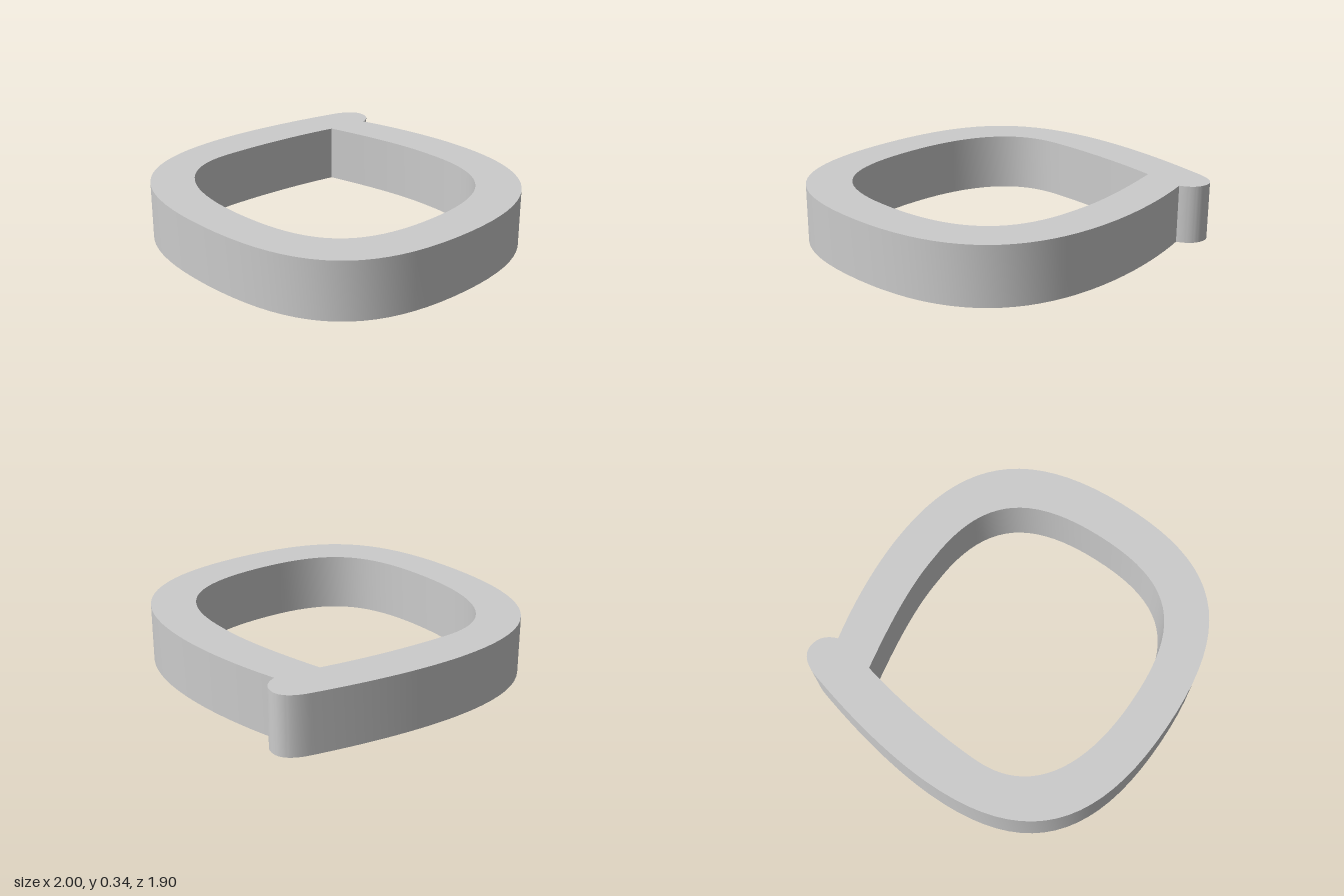
import * as THREE from 'three';
import { toCreasedNormals } from 'three/addons/utils/BufferGeometryUtils.js';

const HEIGHT = 0.337;

// Outlines are drawn in plan, with the back of the ring towards +y.
// Each curve is [control1, control2, end] as six numbers.
function trace(path, start, curves) {
  path.moveTo(...start);
  for (const curve of curves) path.bezierCurveTo(...curve);
  return path;
}

export function createModel() {
  const group = new THREE.Group();
  group.name = 'pointedRing';

  // Outer edge, clockwise from the notch beside the tip
  const outline = trace(new THREE.Shape(), [-0.62, 0.855], [
    [-0.4, 0.915, -0.15, 0.955, 0.07, 0.955],  // back
    [0.68, 0.955, 1, 0.68, 1, 0],              // back left corner
    [1, -0.68, 0.718, -0.945, 0, -0.945],      // front left corner
    [-0.7, -0.945, -1, -0.68, -1, -0.05],      // front right corner
    [-1, 0.2, -0.95, 0.5, -0.87, 0.81],        // right side
    [-0.845, 0.91, -0.8, 0.955, -0.745, 0.955], // tip
    [-0.69, 0.955, -0.645, 0.925, -0.62, 0.855],
  ]);

  // Opening, anticlockwise from its sharp corner
  outline.holes.push(trace(new THREE.Path(), [-0.66, 0.605], [
    [-0.715, 0.36, -0.75, 0.05, -0.75, -0.2],
    [-0.75, -0.53, -0.48, -0.706, 0, -0.706],
    [0.545, -0.706, 0.75, -0.526, 0.75, 0],
    [0.75, 0.526, 0.52, 0.706, 0.08, 0.706],
    [-0.15, 0.715, -0.42, 0.66, -0.66, 0.605],
  ]));

  // Flat band with straight walls
  const band = new THREE.ExtrudeGeometry(outline, {
    depth: HEIGHT, bevelEnabled: false, curveSegments: 20,
  });
  band.rotateX(-Math.PI / 2);

  const ring = new THREE.Mesh(
    toCreasedNormals(band, 0.5),
    new THREE.MeshStandardMaterial({ color: 0xcccccc }),
  );
  ring.name = 'ringBand';
  group.add(ring);
  return group;
}
